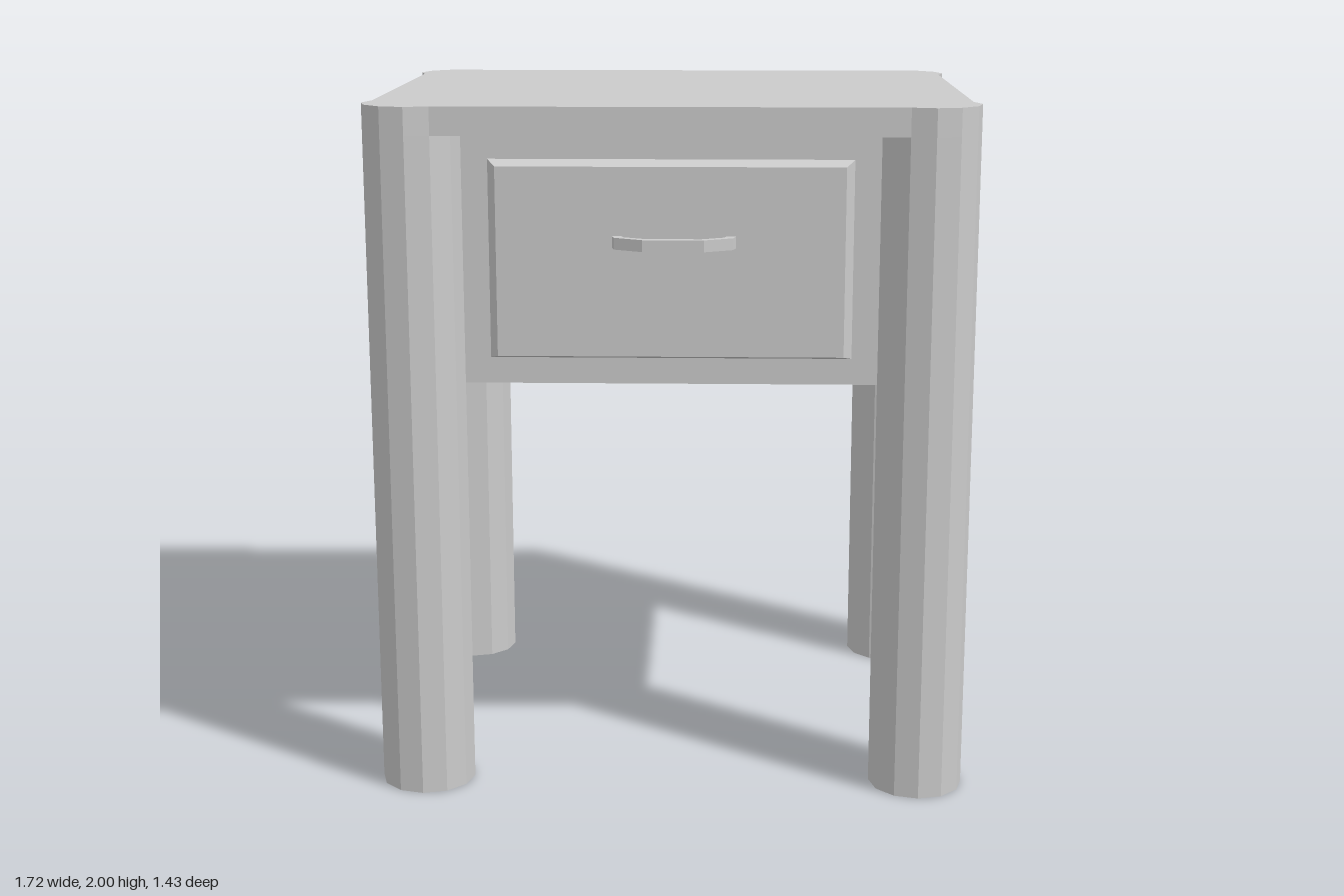
import * as THREE from 'three';

const LEG_X = 0.724, LEG_Z = 0.577, LEG_R = 0.137;
const TOP_Y = 2, SLAB_H = 0.08, BODY_Y = 1.205;

export function createModel() {
  const group = new THREE.Group();
  const material = new THREE.MeshStandardMaterial({ color: 0xcccccc, flatShading: true });
  const add = (name, geometry, x = 0, y = 0, z = 0) => {
    const mesh = new THREE.Mesh(geometry, material);
    mesh.name = name;
    mesh.position.set(x, y, z);
    group.add(mesh);
  };
  const underside = TOP_Y - SLAB_H;

  // Four twelve-sided posts
  const legGeometry = new THREE.CylinderGeometry(LEG_R, LEG_R, underside, 12);
  for (const [zName, sz] of [['front', 1], ['back', -1]]) {
    for (const [xName, sx] of [['Left', 1], ['Right', -1]]) {
      add(`${zName}${xName}Leg`, legGeometry, sx * LEG_X, underside / 2, sz * LEG_Z);
    }
  }

  // Table top: straight edges joined by the outer facets of each post
  const outline = [];
  [[1, 1], [-1, 1], [-1, -1], [1, -1]].forEach(([sx, sz], corner) => {
    for (let i = -1; i <= 4; i++) {
      const a = corner * Math.PI / 2 + i * Math.PI / 6;
      outline.push(new THREE.Vector2(
        sx * LEG_X + LEG_R * Math.cos(a), sz * LEG_Z + LEG_R * Math.sin(a)));
    }
  });
  const slab = new THREE.ExtrudeGeometry(new THREE.Shape(outline), { depth: SLAB_H, bevelEnabled: false });
  slab.rotateX(-Math.PI / 2);
  add('tableTop', slab, 0, underside, 0);

  // Cabinet box, its faces on the centre lines of the posts
  const bodyH = underside - BODY_Y;
  add('cabinet', new THREE.BoxGeometry(2 * LEG_X, bodyH, 2 * LEG_Z), 0, BODY_Y + bodyH / 2, 0);

  // Drawer front with sloping edges
  const drawerD = 0.055;
  const drawer = new THREE.BoxGeometry(1.026, 0.565, drawerD);
  const p = drawer.attributes.position;
  for (let i = 0; i < p.count; i++) {
    if (p.getZ(i) > 0) p.setXY(i, p.getX(i) * 0.95, p.getY(i) * 0.947);
  }
  drawer.computeVertexNormals();
  add('drawerFront', drawer, 0, 1.5625, LEG_Z + drawerD / 2);

  // Bowed pull: a flat band outlined from above, given height
  const outer = [[-0.175, -0.01], [-0.165, 0.03], [-0.085, 0.072], [0.085, 0.072], [0.165, 0.03], [0.175, -0.01]];
  const inner = [[0.148, -0.01], [0.14, 0.018], [0.078, 0.05], [-0.078, 0.05], [-0.14, 0.018], [-0.148, -0.01]];
  const band = new THREE.Shape([...outer, ...inner].map(([x, z]) => new THREE.Vector2(x, -z)));
  const handle = new THREE.ExtrudeGeometry(band, { depth: 0.033, bevelEnabled: false });
  handle.rotateX(-Math.PI / 2);
  add('drawerHandle', handle, 0.01, 1.604, LEG_Z + drawerD);

  return group;
}
